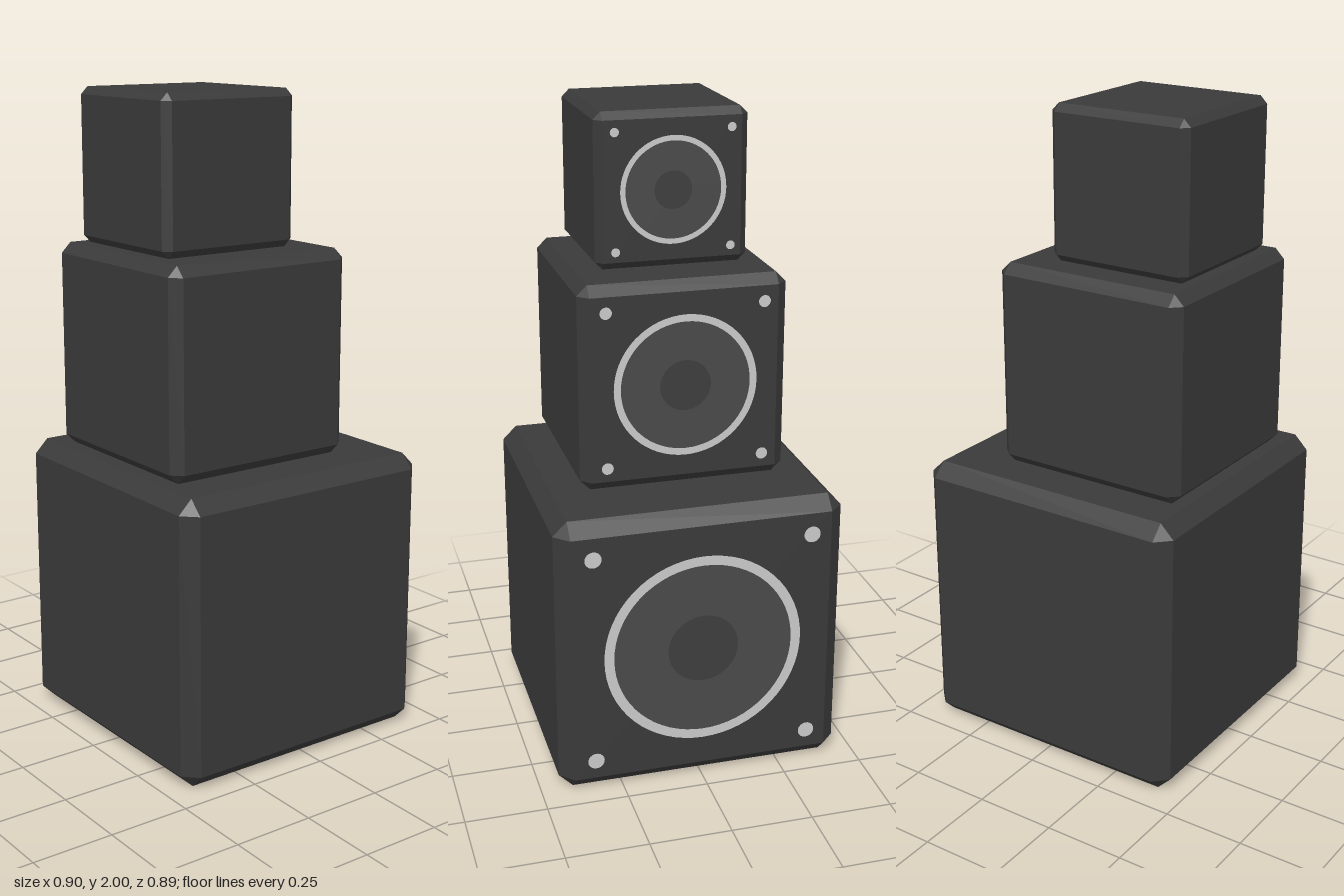
import * as THREE from 'three';
import { ConvexGeometry } from 'three/addons/geometries/ConvexGeometry.js';

const material = (color) => new THREE.MeshStandardMaterial({ color, side: THREE.DoubleSide });
const bodyMat = material(0x3a3a3a);
bodyMat.flatShading = true;
const coneMat = material(0x4a4a4a);
const capMat = material(0x3e3e3e);
const trimMat = material(0xcccccc);

// Cube with all twelve edges chamfered
function chamferedCube(size, chamfer) {
  const h = size / 2, k = h - chamfer, points = [];
  for (const x of [-1, 1]) for (const y of [-1, 1]) for (const z of [-1, 1]) {
    points.push(
      new THREE.Vector3(x * h, y * k, z * k),
      new THREE.Vector3(x * k, y * h, z * k),
      new THREE.Vector3(x * k, y * k, z * h));
  }
  return new ConvexGeometry(points);
}

// One speaker cabinet, its driver facing +x
function speaker(size) {
  const group = new THREE.Group();
  const add = (name, geometry, mat, x = 0, y = 0, z = 0) => {
    const mesh = new THREE.Mesh(geometry, mat);
    mesh.name = name;
    mesh.position.set(x, y, z);
    group.add(mesh);
  };
  const facing = (geometry) => geometry.rotateY(Math.PI / 2);
  const face = size / 2;

  add('cabinet', chamferedCube(size, size * 0.049), bodyMat);

  // Thin driver layers stacked just in front of the cabinet face
  add('speakerCone', facing(new THREE.CircleGeometry(size * 0.33, 64)), coneMat, face + 0.003);
  add('dustCap', facing(new THREE.CircleGeometry(size * 0.123, 48)), capMat, face + 0.006);
  add('trimRing', facing(new THREE.RingGeometry(size * 0.312, size * 0.346, 64)), trimMat, face + 0.009);

  // Corner screws
  const s = size * 0.379;
  for (const y of [-s, s]) for (const z of [-s, s]) {
    add('screw', facing(new THREE.CircleGeometry(size * 0.029, 24)), trimMat, face + 0.009, y, z);
  }
  return group;
}

export function createModel() {
  const model = new THREE.Group();
  model.name = 'speakerStack';

  // Cabinets from bottom to top: size, centre x, centre y
  const cabinets = [
    ['largeSpeaker', 0.887, -0.004, 0.444],
    ['mediumSpeaker', 0.634, -0.083, 1.213],
    ['smallSpeaker', 0.463, -0.135, 1.7685],
  ];
  for (const [name, size, x, y] of cabinets) {
    const unit = speaker(size);
    unit.name = name;
    unit.position.set(x, y, 0);
    model.add(unit);
  }
  return model;
}
